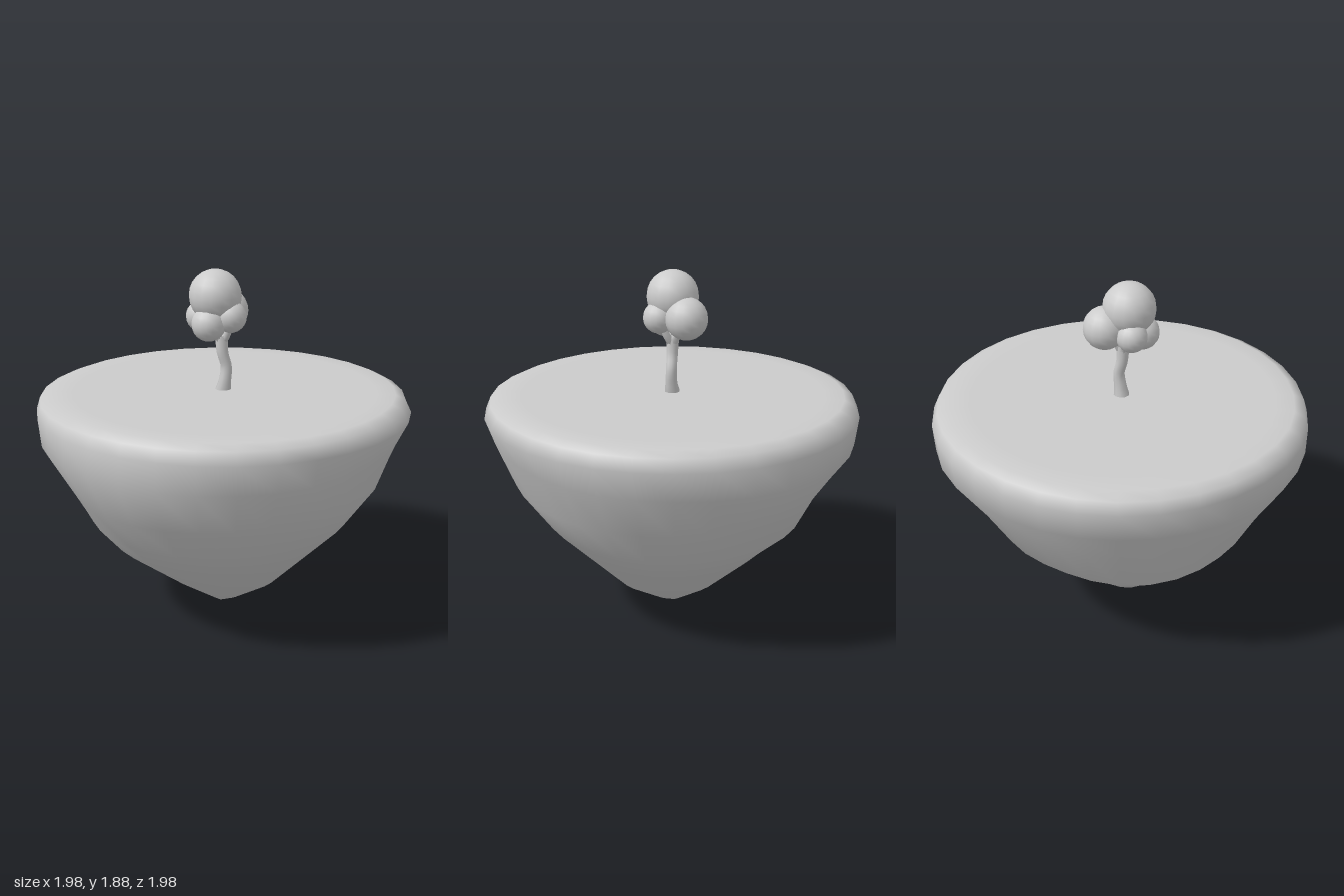
import * as THREE from 'three';

const material = new THREE.MeshStandardMaterial({ color: 0xcccccc });

function add(parent, name, geometry) {
  const mesh = new THREE.Mesh(geometry, material);
  mesh.name = name;
  parent.add(mesh);
  return mesh;
}

// Island rings, top to bottom: height, then radius at every 45 degrees from +x towards +z
const RINGS = [
  [1.24, .9, .91, .9, .91, .91, .91, .91, .91],
  [1.215, .95, .96, .955, .965, .97, .96, .965, .96],
  [1.15, .99, .985, .975, .985, .99, .99, .995, .985],
  [1.0, .91, .96, .985, .97, .97, .97, .985, .95],
  [.77, .83, .85, .88, .83, .81, .8, .84, .84],
  [.56, .68, .68, .71, .72, .76, .7, .69, .69],
  [.42, .54, .56, .58, .6, .58, .52, .55, .56],
  [.18, .3, .27, .27, .28, .3, .25, .28, .28],
  [.05, .09, .08, .08, .08, .09, .08, .08, .08],
];

function islandGeometry(segments = 32) {
  const positions = [0, 1.24, 0];
  const index = [];
  // An inner ring keeps the top flat before the rounded rim
  const rings = [[1.24, ...Array(8).fill(.8)], ...RINGS];
  for (const [y, ...radii] of rings) {
    for (let i = 0; i < segments; i++) {
      const t = (i / segments) * 8;
      const k = Math.floor(t);
      const f = (1 - Math.cos((t - k) * Math.PI)) / 2;
      const r = THREE.MathUtils.lerp(radii[k], radii[(k + 1) % 8], f);
      const a = (i / segments) * Math.PI * 2;
      positions.push(r * Math.cos(a), y, r * Math.sin(a));
    }
  }
  const tip = positions.length / 3;
  positions.push(-.02, 0, 0);
  const at = (ring, i) => 1 + ring * segments + (i % segments);
  for (let i = 0; i < segments; i++) {
    index.push(0, at(0, i + 1), at(0, i));
    for (let j = 0; j < rings.length - 1; j++) {
      const a = at(j, i), b = at(j, i + 1), c = at(j + 1, i), d = at(j + 1, i + 1);
      index.push(a, b, c, b, d, c);
    }
    index.push(at(rings.length - 1, i), at(rings.length - 1, i + 1), tip);
  }
  const geometry = new THREE.BufferGeometry();
  geometry.setAttribute('position', new THREE.Float32BufferAttribute(positions, 3));
  geometry.setIndex(index);
  geometry.computeVertexNormals();
  return geometry;
}

// Tube along a curve whose radius follows a list of evenly spaced values
function limbGeometry(points, radii, steps = 16, sides = 10) {
  const curve = new THREE.CatmullRomCurve3(points.map(p => new THREE.Vector3(...p)));
  const geometry = new THREE.TubeGeometry(curve, steps, 1, sides);
  const pos = geometry.attributes.position;
  const v = new THREE.Vector3();
  for (let i = 0; i <= steps; i++) {
    const center = curve.getPointAt(i / steps);
    const t = (i / steps) * (radii.length - 1);
    const k = Math.min(Math.floor(t), radii.length - 2);
    const r = THREE.MathUtils.lerp(radii[k], radii[k + 1], t - k);
    for (let j = 0; j <= sides; j++) {
      const n = i * (sides + 1) + j;
      v.fromBufferAttribute(pos, n).sub(center).multiplyScalar(r).add(center);
      pos.setXYZ(n, v.x, v.y, v.z);
    }
  }
  return geometry;
}

export function createModel() {
  const model = new THREE.Group();
  model.name = 'floatingIsland';
  add(model, 'island', islandGeometry());

  const tree = new THREE.Group();
  tree.name = 'tree';
  model.add(tree);

  // Curved trunk with a flared foot
  add(tree, 'trunk', limbGeometry(
    [[-.005, 1.22, 0], [.005, 1.28, -.005], [.01, 1.36, -.012], [-.005, 1.44, .002], [-.01, 1.53, .004]],
    [.045, .033, .03, .03, .032, .035]));

  // Forked branches reaching into the foliage
  const start = [-.01, 1.49, .002];
  const branches = [
    [[-.02, 1.54, .03], [-.03, 1.62, .06]],
    [[-.01, 1.54, -.025], [-.025, 1.62, -.07]],
    [[.025, 1.54, .005], [.06, 1.62, .02]],
    [[-.045, 1.55, .01], [-.1, 1.61, .03]],
  ];
  for (const path of branches) {
    add(tree, 'branch', limbGeometry([start, ...path], [.025, .02, .016], 6, 8));
  }

  // Foliage balls: name, radius, centre
  const foliage = [
    ['crown', .138, [-.03, 1.742, .033]],
    ['frontFoliage', .09, [-.03, 1.605, .1]],
    ['backFoliage', .112, [-.03, 1.645, -.092]],
    ['leftFoliage', .083, [.06, 1.64, .03]],
    ['rightFoliage', .08, [-.118, 1.625, .03]],
  ];
  for (const [name, radius, center] of foliage) {
    add(tree, name, new THREE.SphereGeometry(radius, 16, 12)).position.set(...center);
  }
  return model;
}
